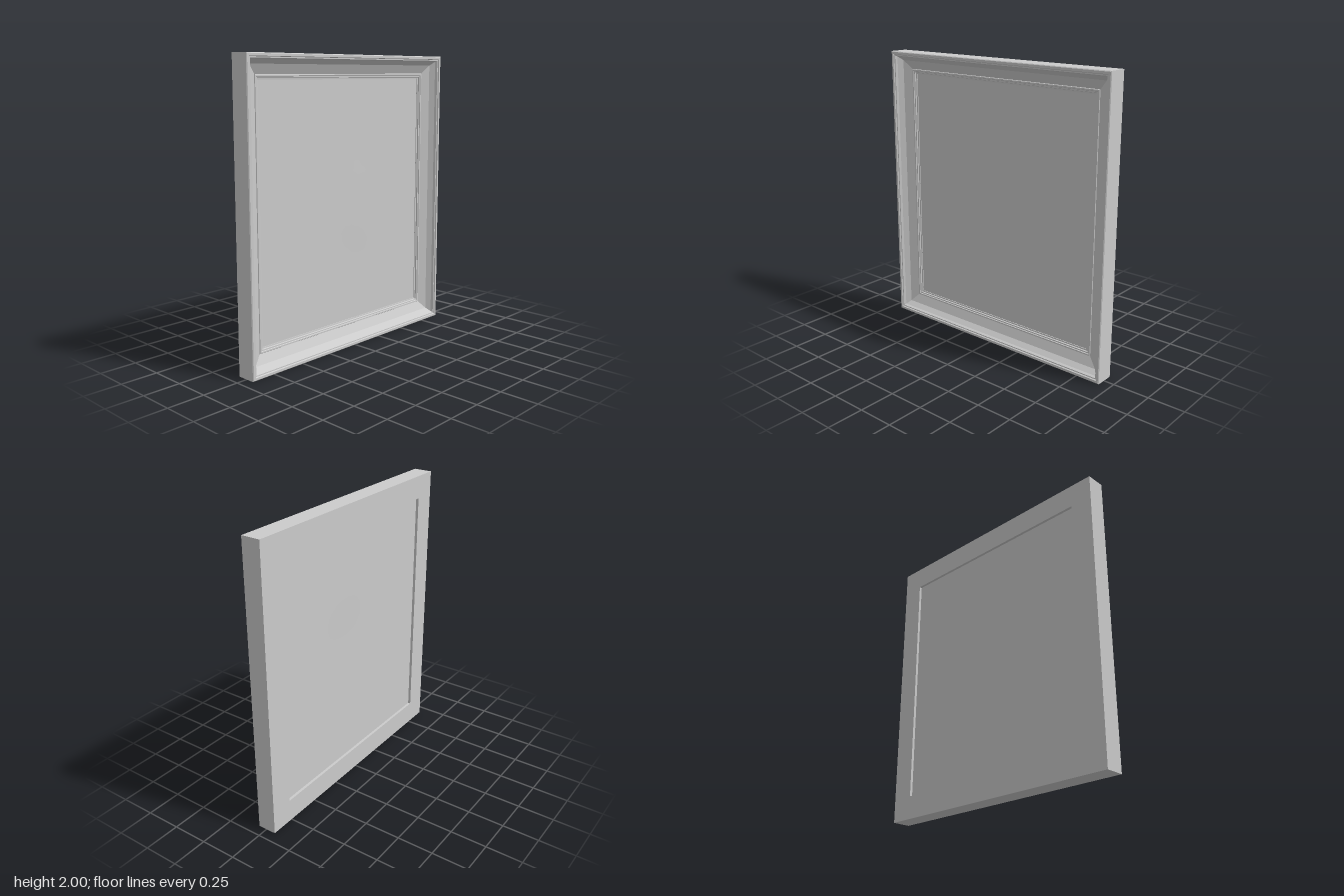
import * as THREE from 'three';

const HALF_W = 0.925, HALF_H = 1;

// Moulding cross-section as [inset from the outer edge, z]
const PROFILE = [
  [0, -0.07], [0, 0.061], [0.005, 0.066], [0.02, 0.066], // outer wall and front lip
  [0.024, 0.058], [0.031, 0.058], [0.038, 0.042],        // small step
  [0.065, 0.01], [0.125, -0.02],                         // cove
  [0.128, -0.015], [0.137, -0.015], [0.14, -0.021],      // inner bead
  [0.148, -0.021], [0.151, -0.029], [0.16, -0.03],       // rebate around the panel
  [0.16, -0.07],                                         // opening wall
];

// Sweeps a closed profile round a rectangle with mitred corners
function mitredFrame(profile, halfW, halfH) {
  const corners = [[-1, -1], [1, -1], [1, 1], [-1, 1]];
  const point = (k, i) => {
    const [inset, z] = profile[k % profile.length];
    const [sx, sy] = corners[i % 4];
    return [sx * (halfW - inset), sy * (halfH - inset), z];
  };
  const positions = [];
  for (let k = 0; k < profile.length; k++) {
    for (let i = 0; i < 4; i++) {
      const a = point(k, i), b = point(k, i + 1);
      const c = point(k + 1, i + 1), d = point(k + 1, i);
      positions.push(...a, ...b, ...c, ...a, ...c, ...d);
    }
  }
  const geometry = new THREE.BufferGeometry();
  geometry.setAttribute('position', new THREE.Float32BufferAttribute(positions, 3));
  geometry.computeVertexNormals();
  return geometry;
}

// Thin panel with a very slight canvas-like undulation
function canvasPanel(width, height, depth) {
  const geometry = new THREE.BoxGeometry(width, height, depth, 24, 24, 1);
  const p = geometry.attributes.position;
  for (let i = 0; i < p.count; i++) {
    const x = p.getX(i), y = p.getY(i);
    const fade = Math.cos(Math.PI * x / width) * Math.cos(Math.PI * y / height);
    p.setZ(i, p.getZ(i) + 0.002 * fade * Math.sin(4 * x + 1) * Math.cos(5 * y + x));
  }
  geometry.computeVertexNormals();
  return geometry;
}

export function createModel() {
  const group = new THREE.Group();
  group.name = 'framedPicture';
  const material = new THREE.MeshStandardMaterial({ color: 0xcccccc });

  const frame = new THREE.Mesh(mitredFrame(PROFILE, HALF_W, HALF_H), material);
  frame.name = 'frame';
  frame.position.y = HALF_H;

  // Panel edges tuck just inside the frame
  const panel = new THREE.Mesh(canvasPanel(1.54, 1.69, 0.016), material);
  panel.name = 'canvas';
  panel.position.set(0, HALF_H, -0.043);

  group.add(frame, panel);
  return group;
}
